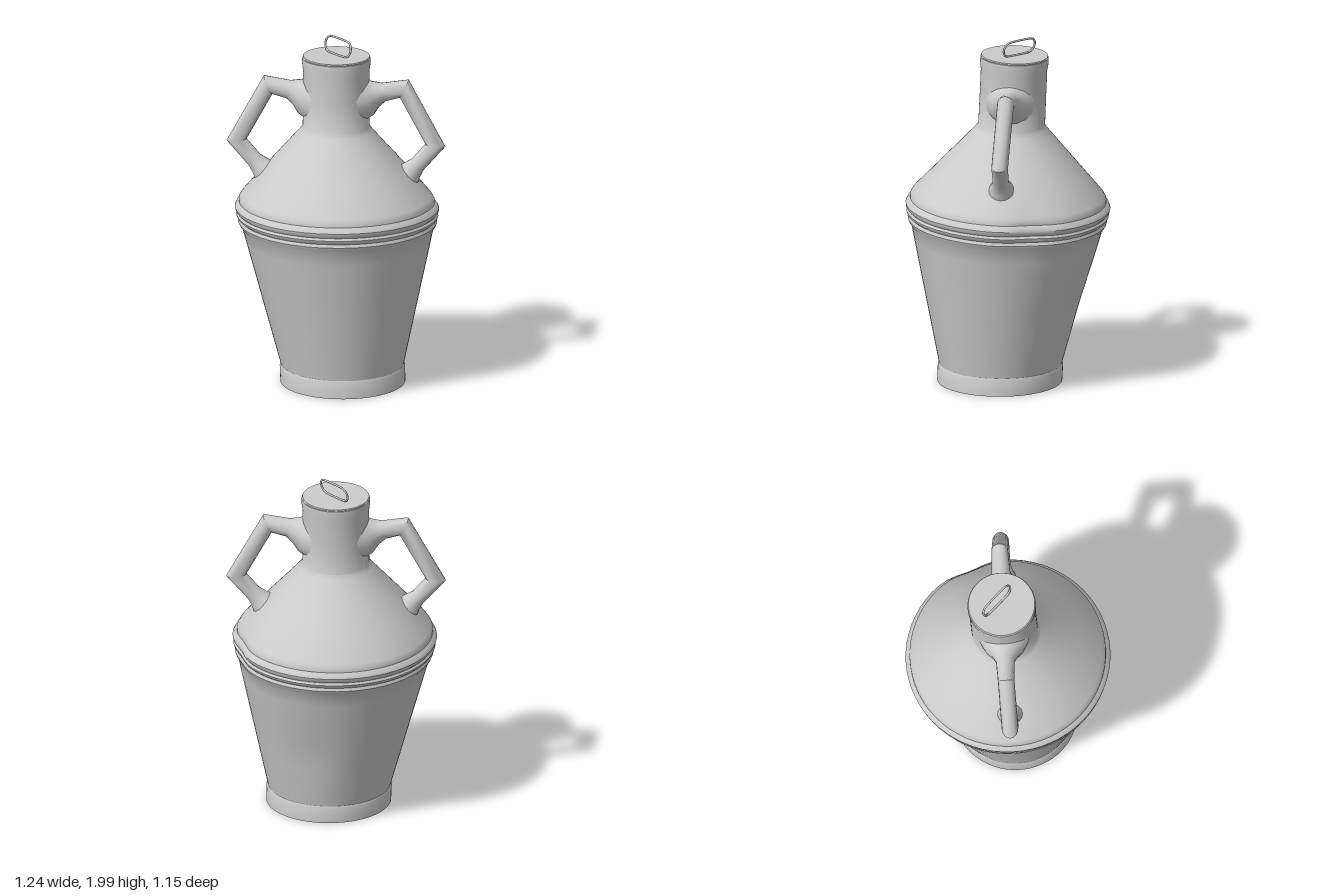
import * as THREE from 'three';
import { mergeVertices, toCreasedNormals } from 'three/addons/utils/BufferGeometryUtils.js';

const material = new THREE.MeshStandardMaterial({ color: 0xcccccc });

// The whole jug leans a little: shift each height sideways and tilt the rings.
const leanX = (y) => Math.max(0.03 - 0.035 * y, -0.015);
const leanZ = (y) => 0.04 - 0.042 * y;

function lean(geometry) {
  const p = geometry.attributes.position;
  for (let i = 0; i < p.count; i++) {
    const x = p.getX(i), y = p.getY(i), z = p.getZ(i);
    p.setXYZ(i, x + leanX(y), y + 0.03 * z * Math.min(y, 1), z + leanZ(y));
  }
  return geometry;
}

// Shallow dents: strength fades with angle and height from the dent centre.
function dent(geometry, angle, height, width, tall, depth) {
  const p = geometry.attributes.position;
  for (let i = 0; i < p.count; i++) {
    const x = p.getX(i), y = p.getY(i), z = p.getZ(i);
    const r = Math.hypot(x, z);
    if (r < 0.3) continue;
    let d = Math.atan2(z, x) - angle;
    d = Math.atan2(Math.sin(d), Math.cos(d));
    const k = 1 - (depth / r) * Math.exp(-((d / width) ** 2) - ((y - height) / tall) ** 2);
    p.setXYZ(i, x * k, y, z * k);
  }
}

function finish(geometry, name, crease) {
  geometry.deleteAttribute('uv');
  geometry.deleteAttribute('normal');
  const mesh = new THREE.Mesh(toCreasedNormals(mergeVertices(geometry), crease), material);
  mesh.name = name;
  return mesh;
}

function turned(profile) {
  return new THREE.LatheGeometry(profile.map(([r, y]) => new THREE.Vector2(r, y)), 64);
}

// Mitred tube along [x, y, radius] points lying in the z = 0 plane.
function mitredTube(path, sides = 16) {
  const positions = [], index = [];
  const direction = (a, b) => new THREE.Vector2(b[0] - a[0], b[1] - a[1]).normalize();
  path.forEach((point, i) => {
    const before = direction(path[Math.max(i - 1, 0)], path[Math.max(i, 1)]);
    const last = path.length - 1;
    const after = direction(path[Math.min(i, last - 1)], path[Math.min(i + 1, last)]);
    const t = before.clone().add(after).normalize();
    const stretch = 1 / t.dot(after);
    for (let j = 0; j < sides; j++) {
      const a = (j / sides) * Math.PI * 2;
      const n = Math.cos(a) * point[2] * stretch;
      positions.push(point[0] - t.y * n, point[1] + t.x * n, Math.sin(a) * point[2]);
      if (i < last) {
        const k = (j + 1) % sides, p = i * sides, q = p + sides;
        index.push(p + j, p + k, q + k, p + j, q + k, q + j);
      }
    }
  });
  const geometry = new THREE.BufferGeometry();
  geometry.setAttribute('position', new THREE.Float32BufferAttribute(positions, 3));
  geometry.setIndex(index);
  return geometry;
}

export function createModel() {
  const jug = new THREE.Group();
  jug.name = 'jug';

  // Body: recessed base, foot band, tapered wall, rolled ridges, shoulder, neck
  const wall = [];
  for (let i = 0; i <= 10; i++) wall.push([0.347 + 0.0193 * i, 0.115 + 0.0795 * i]);
  const body = turned([
    [0, 0.085], [0.338, 0.085], [0.345, 0.012], [0.352, 0.012], [0.353, 0.1],
    ...wall,
    [0.555, 0.93], [0.561, 0.945], [0.553, 0.962],
    [0.566, 0.973], [0.571, 0.987], [0.562, 1.0],
    [0.574, 1.013], [0.577, 1.03], [0.568, 1.048],
    [0.553, 1.06], [0.552, 1.078], [0.538, 1.1],
    [0.42, 1.232], [0.3, 1.367], [0.205, 1.475], [0.188, 1.5],
    [0.187, 1.66], [0.187, 1.82], [0.193, 1.865], [0.192, 1.895], [0.184, 1.9],
  ]);
  dent(body, -0.35, 1.02, 0.2, 0.1, 0.025);
  dent(body, -1.3, 0.45, 0.35, 0.2, 0.015);
  jug.add(finish(lean(body), 'body', 0.6));

  // Lid closing the neck
  const lid = turned([[0.187, 1.893], [0.19, 1.9], [0.187, 1.906], [0.1, 1.905], [0, 1.904]]);
  jug.add(finish(lean(lid), 'lid', 0.6));

  // Angular handles, flaring where they meet neck and shoulder
  const handlePath = [
    [0.13, 1.665, 0.14], [0.185, 1.675, 0.11], [0.22, 1.688, 0.077], [0.27, 1.702, 0.053],
    [0.385, 1.725, 0.047], [0.562, 1.4, 0.047], [0.462, 1.285, 0.046],
    [0.428, 1.25, 0.06], [0.4, 1.218, 0.08], [0.36, 1.175, 0.1],
  ];
  for (const [side, name] of [[1, 'leftHandle'], [-1, 'rightHandle']]) {
    const path = handlePath.map(([x, y, r]) => [side * x, y, r]);
    jug.add(finish(lean(mitredTube(path)), name, 0.75));
  }

  // Wire pull ring: an upright rounded loop set diagonally on the lid
  const points = [];
  const half = 0.068, bend = 0.043;
  for (let i = 0; i < 24; i++) {
    const a = ((i + 0.5) / 24) * Math.PI * 2;
    const u = Math.cos(a) * bend + Math.sign(Math.cos(a)) * half;
    const v = Math.sin(a) * bend;
    const tip = v * 0.25;
    points.push(new THREE.Vector3((u + tip) * Math.SQRT1_2, v, (u - tip) * Math.SQRT1_2));
  }
  const loop = new THREE.CatmullRomCurve3(points, true);
  const ring = new THREE.Mesh(new THREE.TubeGeometry(loop, 80, 0.006, 8, true), material);
  ring.name = 'pullRing';
  ring.position.set(-0.008, 1.951, -0.067);
  jug.add(ring);

  return jug;
}
